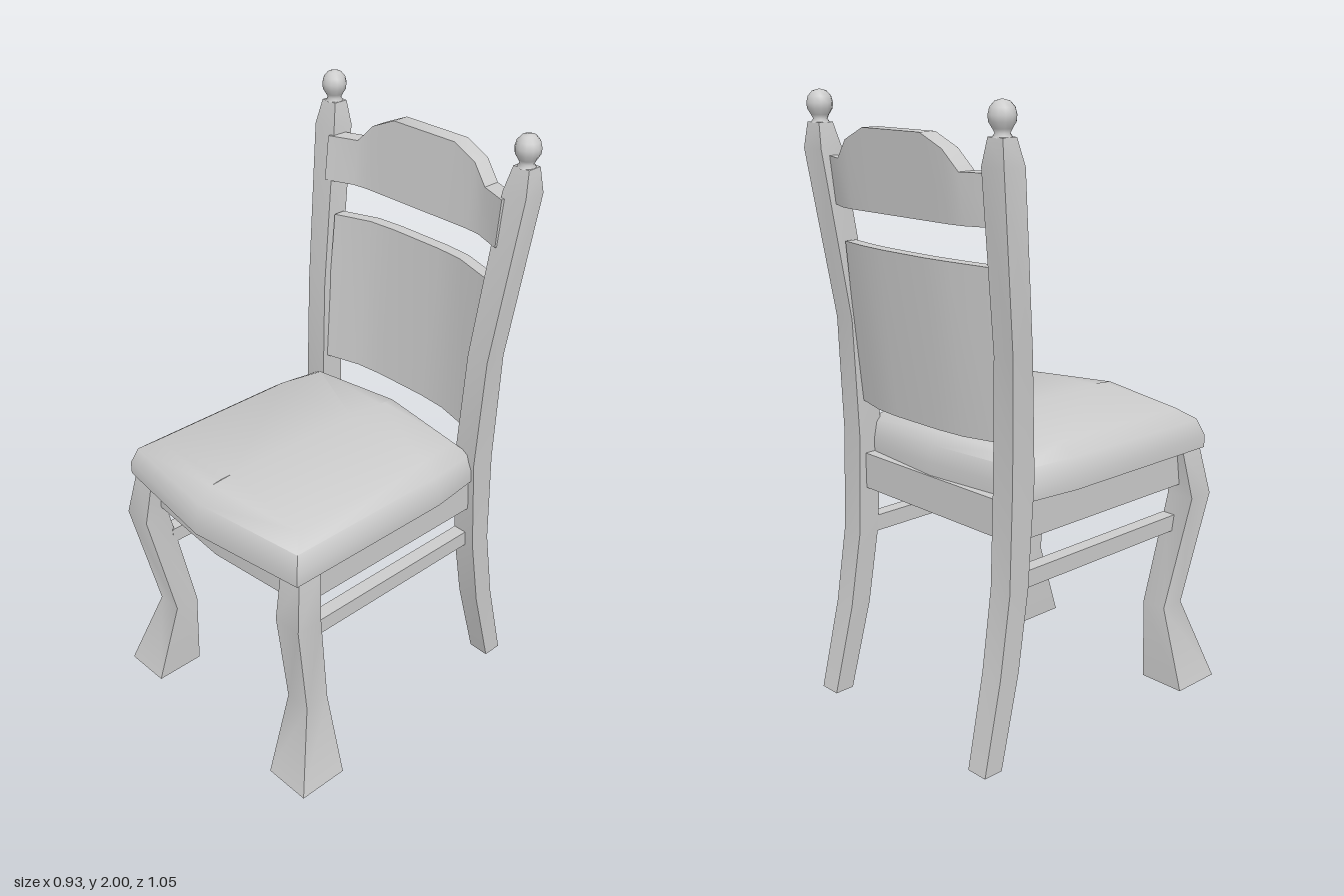
import * as THREE from 'three';
import { toCreasedNormals } from 'three/addons/utils/BufferGeometryUtils.js';

const material = new THREE.MeshStandardMaterial({ color: 0xcccccc, side: THREE.DoubleSide });

// Skin a list of equal-length rings of [x, y, z]; faces are turned outwards.
function loft(rings, { capStart = true, capEnd = true, crease = 0.6 } = {}) {
  const n = rings[0].length, points = rings.flat(), index = [];
  for (let r = 0; r < rings.length - 1; r++) {
    for (let i = 0; i < n; i++) {
      const a = r * n + i, b = r * n + (i + 1) % n;
      index.push(a, b, b + n, a, b + n, a + n);
    }
  }
  const last = (rings.length - 1) * n;
  for (let i = 1; i < n - 1; i++) {
    if (capStart) index.push(0, i + 1, i);
    if (capEnd) index.push(last, last + i, last + i + 1);
  }
  // Signed volume tells whether the winding must be reversed
  const v = points.map(p => new THREE.Vector3(...p));
  const center = v.reduce((s, p) => s.add(p), new THREE.Vector3()).divideScalar(v.length);
  v.forEach(p => p.sub(center));
  let volume = 0;
  for (let i = 0; i < index.length; i += 3) {
    volume += v[index[i]].dot(v[index[i + 1]].clone().cross(v[index[i + 2]]));
  }
  if (volume < 0) index.reverse();
  const g = new THREE.BufferGeometry();
  g.setAttribute('position', new THREE.Float32BufferAttribute(points.flat(), 3));
  g.setIndex(index);
  return toCreasedNormals(g, crease);
}

// Square-section leg; rows are [y, xInner, xOuter, zFront, zBack]
const leg = (rows, side) => loft(rows.map(([y, xi, xo, zf, zb]) => [
  [side * xi, y, zf], [side * xo, y, zf], [side * xo, y, zb], [side * xi, y, zb],
]), { capStart: false });

// Bowed, leaning board; half columns [x, yBottom, yTop, bow] run from the middle outwards
function board(half, backAt, thickness) {
  const mirrored = half.map(([x, ...rest]) => [-x, ...rest]).reverse();
  return loft([...mirrored, ...half].map(([x, y0, y1, bow]) => {
    const z0 = backAt(y0) + bow, z1 = backAt(y1) + bow;
    return [[x, y0, z0], [x, y1, z1], [x, y1, z1 + thickness], [x, y0, z0 + thickness]];
  }));
}

// Cushion made of inset rings that close on a raised centre ridge
function seatGeometry() {
  const ring = half => [
    ...half, ...half.slice(1, -1).reverse().map(([x, y, z]) => [-x, y, z]),
  ];
  const outline = (y, d, lift = 0) => ring([
    [0, y + lift, 0.53 - d], [0.413 - d, y, 0.475 - d], [0.413 - d, y, -0.14],
    [0.39 - d, y - lift * 0.5, -0.335 + d * 0.5], [0, y, -0.375 + d * 0.5],
  ]);
  return loft([
    outline(0.83, 0), outline(0.872, 0), outline(0.928, 0.02, 0.005), outline(0.965, 0.07, 0.015),
    ring([[0, 0.985, 0.42], [0, 0.985, 0.38], [0, 0.985, -0.14], [0, 0.972, -0.28], [0, 0.97, -0.3]]),
  ], { capEnd: false, crease: 0.9 });
}

export function createModel() {
  const chair = new THREE.Group();
  chair.name = 'chair';
  const add = (name, geometry, x = 0, y = 0, z = 0) => {
    const mesh = new THREE.Mesh(geometry, material);
    mesh.name = name;
    mesh.position.set(x, y, z);
    chair.add(mesh);
  };

  add('seat', seatGeometry());

  // Small ball on a neck, crowning each back post
  const finial = new THREE.LatheGeometry([
    [0.03, 0], [0.022, 0.012], [0.028, 0.024], [0.039, 0.042], [0.041, 0.06],
    [0.036, 0.08], [0.022, 0.096], [0, 0.102],
  ].map(([r, y]) => new THREE.Vector2(r, y)), 12);

  for (const side of [1, -1]) {
    const label = side > 0 ? 'left' : 'right';
    add(label + 'FrontLeg', leg([
      [0, 0.3, 0.465, 0.504, 0.327],
      [0.28, 0.295, 0.385, 0.414, 0.325],
      [0.67, 0.33, 0.432, 0.49, 0.396],
      [0.835, 0.322, 0.405, 0.46, 0.373],
    ], side));
    add(label + 'BackPost', leg([
      [0, 0.335, 0.41, -0.456, -0.525],
      [0.3, 0.325, 0.405, -0.38, -0.455],
      [0.56, 0.32, 0.403, -0.338, -0.414],
      [0.9, 0.32, 0.403, -0.313, -0.402],
      [1.28, 0.332, 0.412, -0.33, -0.408],
      [1.82, 0.363, 0.453, -0.4, -0.48],
      [1.9, 0.38, 0.44, -0.42, -0.472],
    ], side));
    add(label + 'Finial', finial, side * 0.41, 1.898, -0.445);

    // Side rail under the seat and the thin stretcher below it
    add(label + 'Apron', new THREE.BoxGeometry(0.04, 0.12, 0.73), side * 0.36, 0.77, 0.04);
    add(label + 'Stretcher', new THREE.BoxGeometry(0.048, 0.055, 0.74), side * 0.345, 0.573, 0.02);
  }

  // Front rail swells forward at the middle; rear rail is straight
  add('frontApron', board([[0, 0.71, 0.83, 0.03], [0.34, 0.71, 0.83, 0]], () => 0.385, 0.04));
  add('backApron', new THREE.BoxGeometry(0.66, 0.12, 0.04), 0, 0.77, -0.36);

  // Curved back panel and crested top rail
  add('backPanel', board([
    [0.1, 1.01, 1.54, 0], [0.2, 1.01, 1.54, 0.008], [0.335, 1.01, 1.535, 0.045],
  ], y => -0.42 - (y - 1.01) * 0.088, 0.042));
  add('topRail', board([
    [0.13, 1.65, 1.9, 0], [0.22, 1.65, 1.86, 0], [0.275, 1.65, 1.8, 0.006], [0.375, 1.65, 1.8, 0.045],
  ], y => -0.475 - (y - 1.65) * 0.1, 0.06));

  return chair;
}
